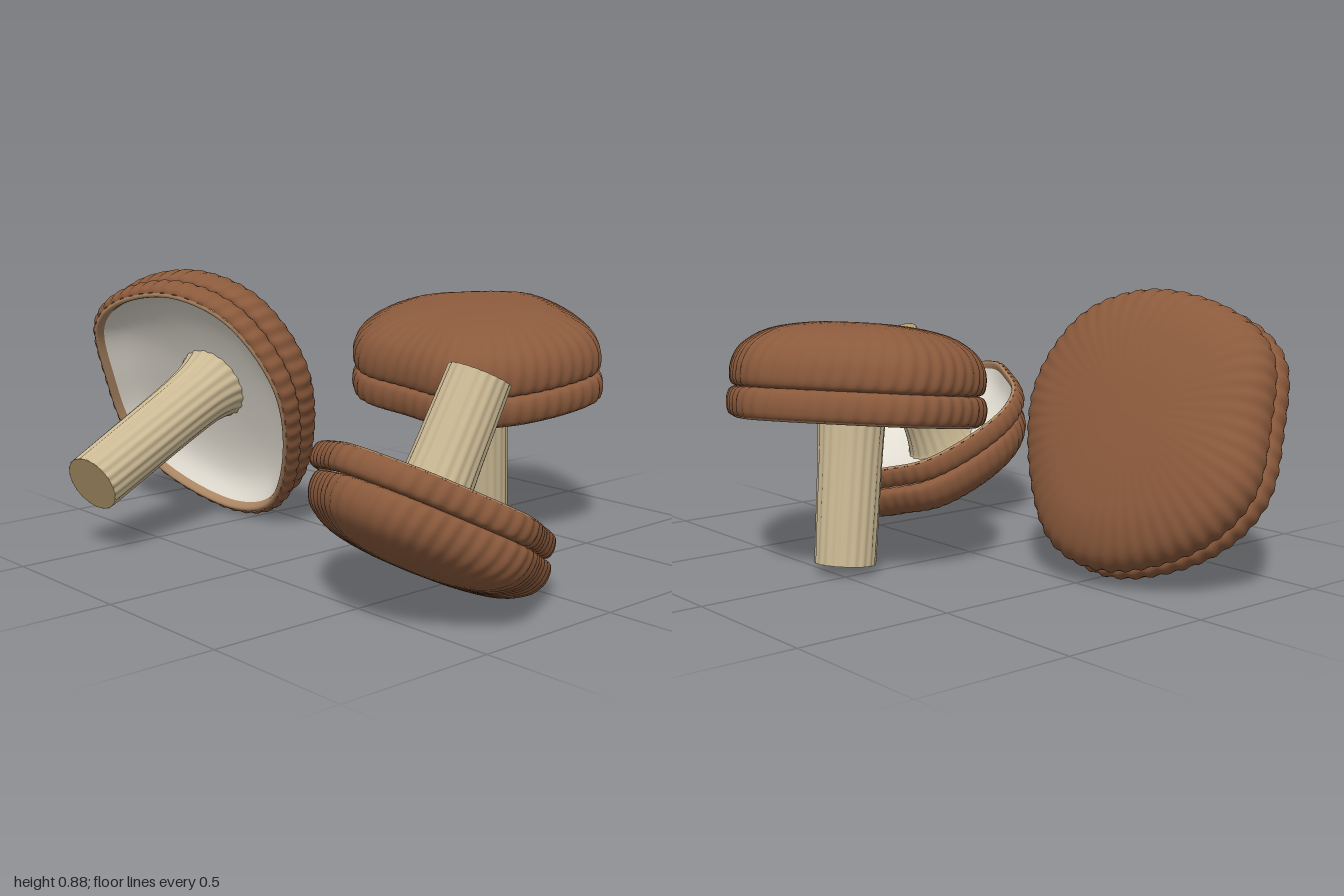
import * as THREE from 'three';

const mat = (color) => new THREE.MeshStandardMaterial({ color, side: THREE.DoubleSide });
const brown = mat(0x8b5a3c), tan = mat(0xa98462), cream = mat(0xe2ddd2), stemTone = mat(0xcbb994), cutTone = mat(0xb39a6c);

// Smooth curve through [radius, height] profile points
const smooth = (pts, n) =>
  new THREE.SplineCurve(pts.map(([r, h]) => new THREE.Vector2(r, h))).getPoints(n);

// Loft: sweeps a profile round a closed outline, with twisted ridges
function loft(name, profile, ring, material, { ridges = 0, depth = 0, twist = 0 } = {}) {
  const n = ring.length, pos = [], idx = [];
  profile.forEach((p, j) => ring.forEach((q, i) => {
    const angle = (i / n) * Math.PI * 2;
    const wave = depth * Math.cos(ridges * angle + twist * (j / profile.length));
    const k = p.x * (1 + wave);
    pos.push(q.x * k, p.y, q.y * k);
    if (j < profile.length - 1) {
      const a = j * n + i, b = j * n + (i + 1) % n;
      idx.push(a, a + n, b, b, a + n, b + n);
    }
  }));
  const g = new THREE.BufferGeometry();
  g.setAttribute('position', new THREE.Float32BufferAttribute(pos, 3));
  g.setIndex(idx);
  g.computeVertexNormals();
  const mesh = new THREE.Mesh(g, material);
  mesh.name = name;
  return mesh;
}

const circle = Array.from({ length: 100 }, (_, i) => {
  const a = (i / 100) * Math.PI * 2;
  return new THREE.Vector2(Math.cos(a), Math.sin(a));
});

// Mushroom: local origin is where the stem crosses the rim plane, the cap points to +y
function mushroom(name, { outline, stem, rise, domeShift = 0, position, tilt }) {
  const group = new THREE.Group();
  group.name = name;
  const curve = new THREE.CatmullRomCurve3(outline.map(([x, z]) => new THREE.Vector3(x, 0, z)), true);
  const ring = curve.getSpacedPoints(260).slice(0, 260).map((p) => new THREE.Vector2(p.x, p.z));
  const h = (pts) => pts.map(([r, y]) => [r, y * rise]);

  // Domed top and the rolled band beneath it, parted by a groove
  const domeProfile = [[0.9, 0.095], [0.965, 0.105], [0.985, 0.14], [0.965, 0.19], [0.88, 0.24], [0.68, 0.286], [0.36, 0.31], [0, 0.316]];
  const band = [[0.955, 0.004], [0.985, 0.015], [1, 0.05], [0.985, 0.082], [0.95, 0.095], [0.9, 0.098]];
  const dome = loft('capDome', smooth(h(domeProfile), 24), ring, brown, { ridges: 52, depth: 0.007, twist: 8 });
  dome.position.z = domeShift;
  group.add(dome);
  group.add(loft('capBand', smooth(h(band), 12), ring, brown, { ridges: 52, depth: 0.007, twist: 3 }));

  // Pale hollow underside and its rounded lip
  const hollow = [[0, 0.15], [0.3, 0.146], [0.6, 0.128], [0.8, 0.09], [0.915, 0.025]];
  const lip = [[0.905, 0.035], [0.915, 0.008], [0.935, -0.002], [0.955, 0.004]];
  group.add(loft('capUnderside', smooth(h(hollow), 12), ring, cream));
  group.add(loft('capLip', smooth(h(lip), 6), ring, tan));

  // Ridged stem, flaring where it meets the hollow, with a flat cut end
  const shaft = [[0.094, -stem], [0.097, -stem * 0.6], [0.1, -stem * 0.2], [0.106, 0.03], [0.12, 0.1], [0.13, 0.15 * rise]];
  const grooves = { ridges: 20, depth: 0.022, twist: 3 };
  group.add(loft('stem', smooth(shaft, 24), circle, stemTone, grooves));
  const cut = [new THREE.Vector2(0, -stem), new THREE.Vector2(0.094, -stem)];
  group.add(loft('stemEnd', cut, circle, cutTone));

  group.position.set(...position);
  group.rotation.set(tilt[0], 0, tilt[1]);
  return group;
}

export function createModel() {
  const root = new THREE.Group();
  root.name = 'mushrooms';

  root.add(mushroom('standingMushroom', {
    outline: [[-0.025, -0.41], [0.235, -0.31], [0.4, -0.165], [0.42, -0.035], [0.365, 0.205], [0.24, 0.35],
      [0, 0.365], [-0.215, 0.35], [-0.385, 0.185], [-0.42, -0.065], [-0.32, -0.215], [-0.14, -0.375]],
    stem: 0.445, rise: 0.97, position: [0.087, 0.455, -0.407], tilt: [0.12, -0.07],
  }));

  root.add(mushroom('leaningMushroom', {
    outline: [[-0.19, 0.395], [-0.34, 0.295], [-0.4, 0.085], [-0.415, -0.145], [-0.3, -0.325], [-0.01, -0.465],
      [0.19, -0.43], [0.36, -0.205], [0.43, 0.065], [0.33, 0.315], [0.11, 0.425]],
    stem: 0.5, rise: 0.84, position: [-0.56, 0.415, 0.315], tilt: [-1.162, 0.192],
  }));

  root.add(mushroom('upturnedMushroom', {
    outline: [[-0.15, 0.355], [-0.29, 0.28], [-0.36, 0.14], [-0.37, -0.07], [-0.29, -0.22], [-0.13, -0.33], [0.04, -0.4],
      [0.22, -0.34], [0.32, -0.18], [0.37, 0], [0.28, 0.195], [0.18, 0.355], [0, 0.41]],
    stem: 0.335, rise: 0.8, domeShift: 0.03, position: [0.628, 0.34, 0.32], tilt: [2.67, 0.05],
  }));

  return root;
}
